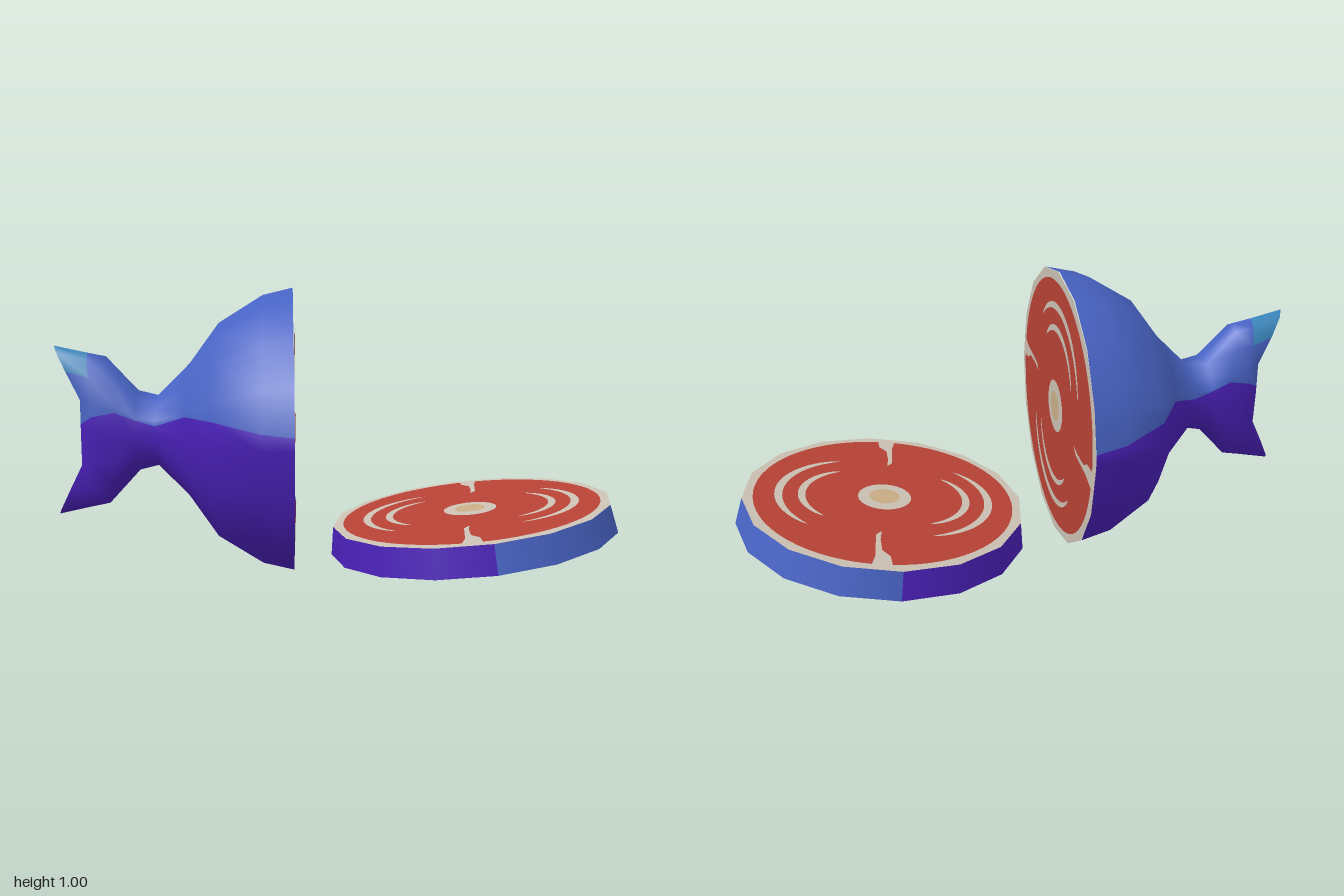
import * as THREE from 'three';

const mat = (name, color, side = THREE.FrontSide) => {
  const m = new THREE.MeshStandardMaterial({ color, side });
  m.name = name;
  return m;
};

export function createModel() {
  const blue = mat('blue skin', 0x4863c4);
  const purple = mat('purple skin', 0x4a20b8);
  const teal = mat('teal fin tip', 0x3a86bc);
  const red = mat('red flesh', 0xb84236);
  const cream = mat('cream fat', 0xcbc1b3);
  const tan = mat('tan marrow', 0xc9ae86);

  const model = new THREE.Group();
  model.name = 'cutFish';

  const add = (parent, name, geometry, material) => {
    const mesh = new THREE.Mesh(geometry, material);
    mesh.name = name;
    parent.add(mesh);
    return mesh;
  };

  // A tapering streak of fat along an arc
  const arcPoints = (cx, cy, r, a0, a1, width) => {
    const inner = [], outer = [], n = 24;
    for (let i = 0; i <= n; i++) {
      const t = i / n, a = a0 + (a1 - a0) * t;
      const w = 0.5 * width * Math.pow(Math.sin(Math.PI * t), 0.6);
      outer.push([cx + (r + w) * Math.cos(a), cy + (r + w) * Math.sin(a)]);
      inner.unshift([cx + (r - w) * Math.cos(a), cy + (r - w) * Math.sin(a)]);
    }
    return [...outer, ...inner.slice(1, -1)];
  };
  const deg = Math.PI / 180;
  const marks = {
    outerStreak: arcPoints(0.01, 0.1, 0.274, 138 * deg, 6 * deg, 0.029),
    innerStreak: arcPoints(0.01, 0.1, 0.193, 140 * deg, 10 * deg, 0.027),
    fatWedge: [[-0.465, 0.1], [-0.4, 0.078], [-0.33, 0.07], [-0.27, 0.062], [-0.245, 0.04],
      [-0.3, 0.05], [-0.37, 0.053], [-0.41, 0.03], [-0.468, 0.03]],
  };

  // Cut face with fat rim, flesh, streaks and bone, facing local +z
  const cutFace = (name, radius, flip = 1) => {
    const face = new THREE.Group();
    face.name = name;
    const s = radius / 0.5;
    add(face, 'fatRim', new THREE.CircleGeometry(radius, 16), cream);
    add(face, 'flesh', new THREE.CircleGeometry(0.462 * s, 64), red).position.z = 0.002;
    for (const [mark, pts] of Object.entries(marks)) {
      for (const turn of [1, -1]) {
        const shape = new THREE.Shape(pts.map(([u, v]) => new THREE.Vector2(u * turn * flip * s, v * turn * s)));
        add(face, mark, new THREE.ShapeGeometry(shape), cream).position.z = 0.004;
      }
    }
    add(face, 'bone', new THREE.CircleGeometry(0.095 * s, 40), cream).position.z = 0.004;
    add(face, 'marrow', new THREE.CircleGeometry(0.054 * s, 32), tan).position.z = 0.006;
    return face;
  };

  // Tail skin rings: x at mid height, x at top and bottom, half height, half width, colour seam height
  const rings = [
    [-0.16, -0.165, 0.5, 0.5, 0.545],
    [-0.27, -0.27, 0.475, 0.477, 0.555],
    [-0.425, -0.425, 0.378, 0.4, 0.582],
    [-0.53, -0.53, 0.235, 0.23, 0.575],
    [-0.64, -0.64, 0.125, 0.125, 0.53],
    [-0.71, -0.71, 0.142, 0.122, 0.55],
    [-0.78, -0.82, 0.262, 0.108, 0.575],
    [-0.86, -0.885, 0.275, 0.1, 0.56],
    [-0.905, -1.0, 0.3, 0.06, 0.53],
  ];
  const N = 18, positions = [];
  const pushRing = ([xm, xt, h, w, seam]) => {
    const sa = Math.asin((seam - 0.5) / h);
    const angles = [0, sa];
    for (let k = 1; k < 8; k++) angles.push(k * Math.PI / 8);
    angles.push(Math.PI - sa);
    for (let k = 8; k < 16; k++) angles.push(k * Math.PI / 8);
    for (const a of angles) {
      const s = Math.sin(a);
      const bend = Math.max(0, (Math.abs(s) - 0.38) / 0.62);
      positions.push(xm + (xt - xm) * bend, 0.5 + h * s, w * Math.cos(a));
    }
  };
  rings.forEach(pushRing);
  pushRing(rings[rings.length - 1]); // separate ring for the fin's end face

  const skins = [blue, purple, teal];
  const faces = [[], [], []];
  const quad = (m, a, b, c, d) => faces[m].push(a, b, c, a, c, d);
  const last = rings.length - 1;
  for (let r = 0; r < last; r++) {
    for (let i = 0; i < N; i++) {
      const j = (i + 1) % N;
      const tip = r === last - 1 && i >= 3 && i <= 6;
      quad(tip ? 2 : i >= 1 && i <= 8 ? 0 : 1, r * N + i, r * N + j, (r + 1) * N + j, (r + 1) * N + i);
    }
  }
  // End face of the fin, in strips from side to side
  const base = (last + 1) * N;
  for (let k = 14; k < 23; k++) {
    const i = k % N, j = (k + 1) % N;
    const across = (n) => base + (10 - n + N) % N;
    quad(i >= 3 && i < 5 ? 2 : i >= 1 && i < 5 ? 0 : 1, base + i, base + j, across(j), across(i));
  }
  const skin = new THREE.BufferGeometry();
  skin.setAttribute('position', new THREE.Float32BufferAttribute(positions, 3));
  skin.setIndex(faces.flat());
  let start = 0;
  faces.forEach((f, m) => { skin.addGroup(start, f.length, m); start += f.length; });
  skin.computeVertexNormals();

  const tail = new THREE.Group();
  tail.name = 'tail';
  add(tail, 'tailSkin', skin, skins);
  const tailCut = cutFace('tailCut', 0.5);
  tailCut.rotation.y = Math.PI / 2;
  tailCut.position.set(-0.161, 0.5, 0);
  tail.add(tailCut);
  model.add(tail);

  // Tilted slice lying in front of the tail
  const slice = new THREE.Group();
  slice.name = 'slice';
  add(slice, 'blueRim', new THREE.CylinderGeometry(0.5, 0.518, 0.1, 8, 1, true, 0, Math.PI), blue);
  add(slice, 'purpleRim', new THREE.CylinderGeometry(0.5, 0.518, 0.1, 8, 1, true, Math.PI, Math.PI), purple);
  const top = cutFace('sliceTop', 0.5);
  top.rotation.set(-Math.PI / 2, 0, Math.PI / 2);
  top.position.y = 0.05;
  const bottom = cutFace('sliceBottom', 0.518, -1);
  bottom.rotation.x = Math.PI / 2;
  bottom.position.y = -0.05;
  slice.add(top, bottom);
  slice.rotation.z = 0.121;
  slice.position.set(0.478, 0.152, 0);
  model.add(slice);

  return model;
}
